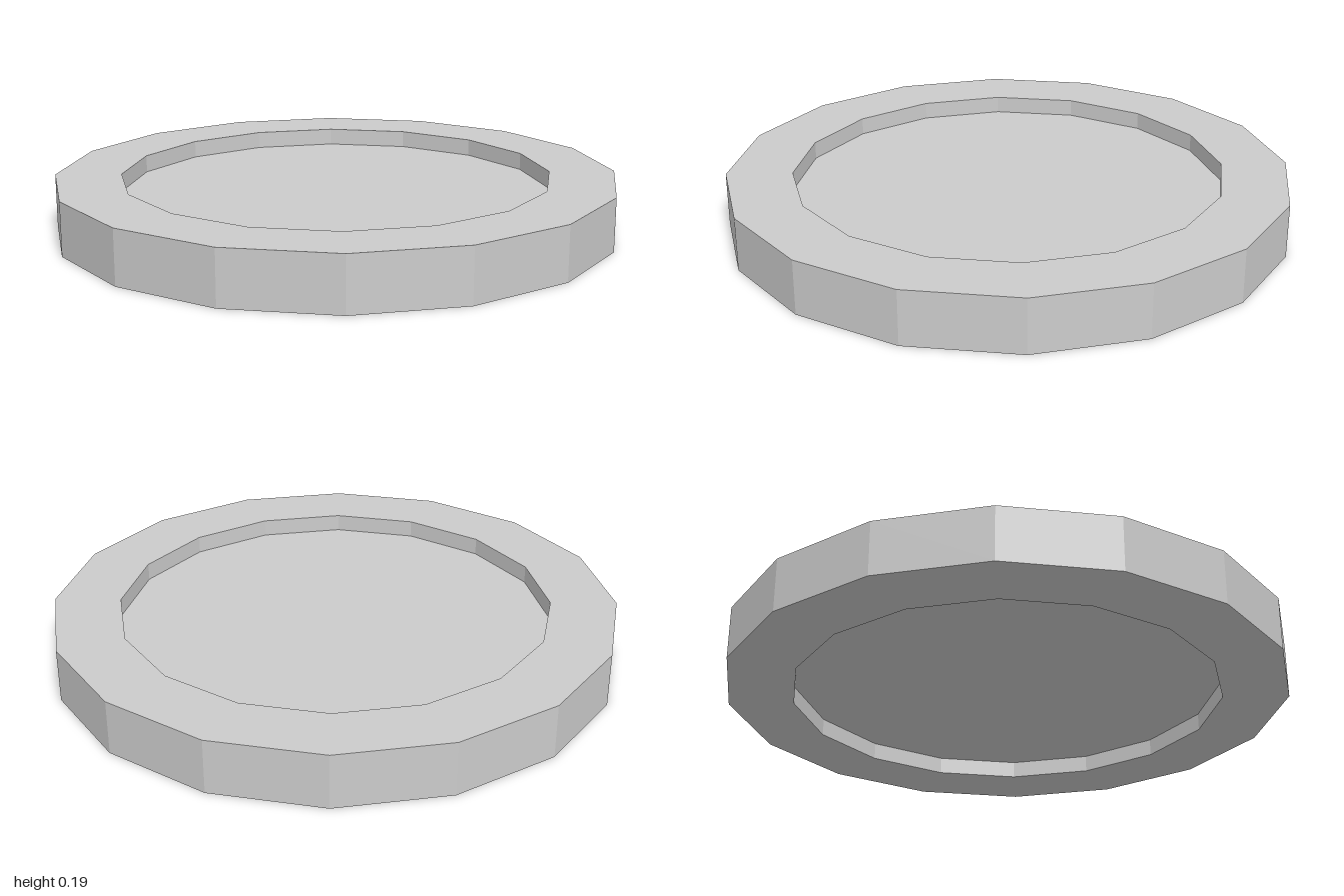
import * as THREE from 'three';

const SIDES = 16;
const HEIGHT = 0.19;
const RECESS = 0.062;
const OUTER = 1;
const INNER = 0.765;

// Faceted solid of revolution from [radius, y] pairs
function lathe(name, profile, material) {
  const points = profile.map(([r, y]) => new THREE.Vector2(r, y));
  const mesh = new THREE.Mesh(new THREE.LatheGeometry(points, SIDES), material);
  mesh.name = name;
  return mesh;
}

export function createModel() {
  const model = new THREE.Group();
  model.name = 'recessedDisc';
  const material = new THREE.MeshStandardMaterial({ color: 0xcccccc, flatShading: true });

  // Raised outer ring, with its inner walls down to the panel on both sides
  model.add(lathe('rimLower', [[INNER, RECESS], [INNER, 0], [OUTER, 0], [OUTER, HEIGHT],
    [INNER, HEIGHT], [INNER, HEIGHT - RECESS]], material));

  // Sunken panel, seen from above and below
  for (const [name, y, turn] of [['topPanel', HEIGHT - RECESS, -1], ['bottomPanel', RECESS, 1]]) {
    const panel = new THREE.Mesh(new THREE.CircleGeometry(INNER, SIDES), material);
    panel.rotation.x = turn * Math.PI / 2;
    panel.position.y = y;
    panel.name = name;
    model.add(panel);
  }

  model.getObjectByName('rimLower').name = 'rim';
  return model;
}
